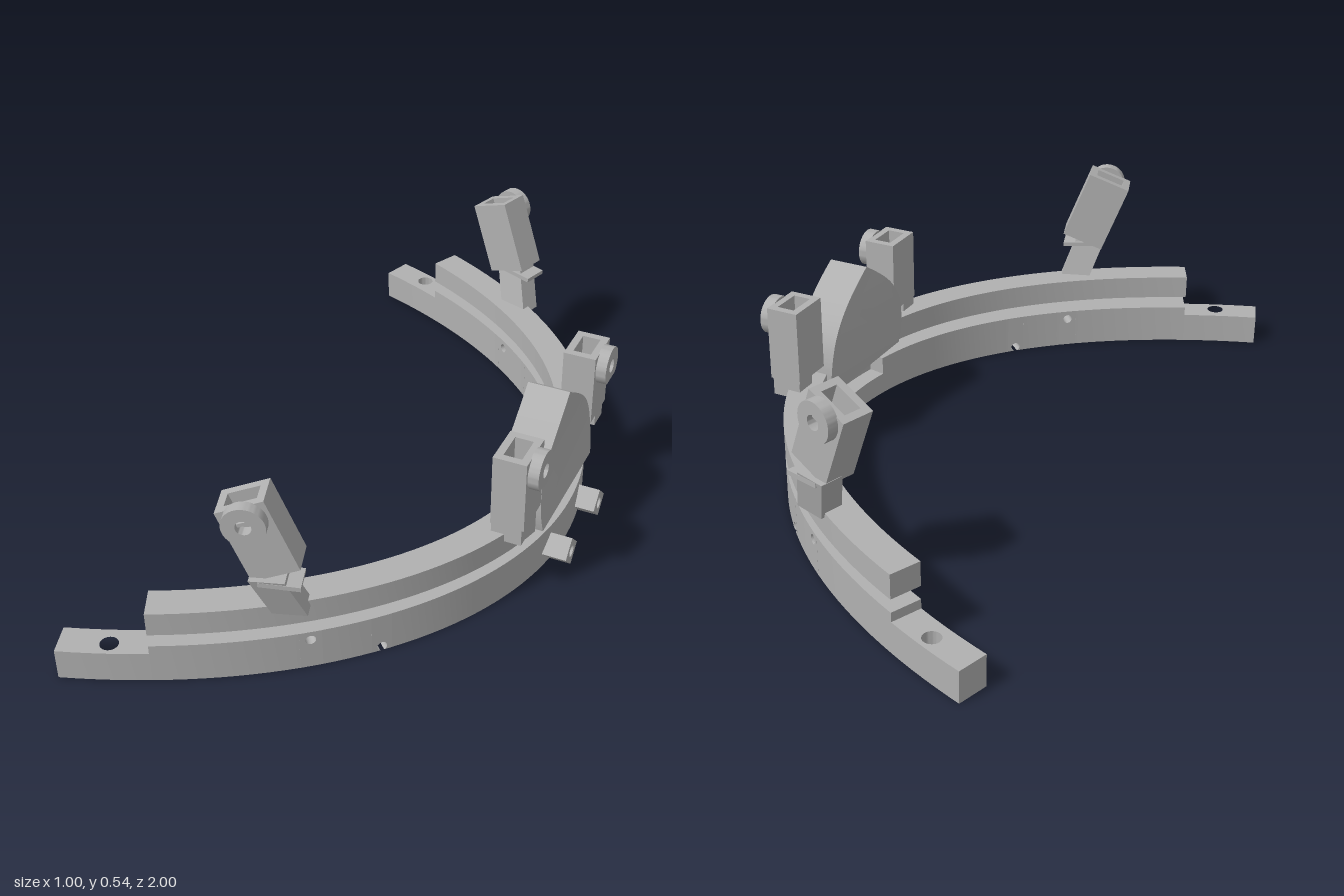
import * as THREE from 'three';
import { toCreasedNormals } from 'three/addons/utils/BufferGeometryUtils.js';

const grey = new THREE.MeshStandardMaterial({ color: 0xb0b0b0 });
grey.name = 'plain grey';

// Elliptical band: outer edge and its inward offset
const A = 1.67, B = 1.118, CX = -1.22, WIDTH = 0.082;
const T_END = 1.108, T_STEP = 0.962;
const rate = t => Math.hypot(A * Math.sin(t), B * Math.cos(t));
function bandPoint(t, inset) {
  const nx = B * Math.cos(t) / rate(t), nz = A * Math.sin(t) / rate(t);
  return new THREE.Vector2(CX + A * Math.cos(t) - nx * inset, -(B * Math.sin(t) - nz * inset));
}

export function createModel() {
  const model = new THREE.Group();

  function add(parent, name, geometry, x = 0, y = 0, z = 0) {
    const mesh = new THREE.Mesh(geometry, grey);
    mesh.name = name;
    mesh.position.set(x, y, z);
    parent.add(mesh);
    return mesh;
  }
  const extrude = (shape, depth) =>
    new THREE.ExtrudeGeometry(shape, { depth, bevelEnabled: false, curveSegments: 20 });
  const circle = (x, y, r) => new THREE.Path().absarc(x, y, r, 0, Math.PI * 2, true);

  // Length of band between two parameters, standing from y0 to y1
  function arc(name, t0, t1, y0, y1, { inset0 = 0, inset1 = WIDTH, hole } = {}) {
    const n = Math.max(2, Math.ceil(Math.abs(t1 - t0) * 36)), pts = [];
    for (let i = 0; i <= n; i++) pts.push(bandPoint(t0 + (t1 - t0) * i / n, inset0));
    for (let i = n; i >= 0; i--) pts.push(bandPoint(t0 + (t1 - t0) * i / n, inset1));
    const shape = new THREE.Shape(pts);
    if (hole) shape.holes.push(hole);
    const g = extrude(shape, y1 - y0);
    g.rotateX(-Math.PI / 2);
    add(model, name, toCreasedNormals(g, 0.5), 0, y0, 0);
  }

  // Short block of the lower band with a round hole, or a notch open at the bottom
  const HALF = 0.02;
  function drilled(side, t, holeY, r) {
    const w = HALF * rate(t) * 1.01, shape = new THREE.Shape();
    shape.moveTo(-w, 0);
    if (holeY < r) {
      const a = Math.asin(holeY / r);
      shape.lineTo(-r * Math.cos(a), 0);
      shape.absarc(0, holeY, r, Math.PI + a, -a, true);
    }
    shape.lineTo(w, 0);
    shape.lineTo(w, 0.11);
    shape.lineTo(-w, 0.11);
    shape.closePath();
    if (holeY >= r) shape.holes.push(circle(0, holeY, r));
    const p = bandPoint(side * t, WIDTH);
    const m = add(model, 'drilledBandBlock', extrude(shape, WIDTH), p.x, 0, -p.y);
    m.rotation.y = Math.atan2(B * Math.cos(t), side * A * Math.sin(t));
  }

  // Hollow-topped holder with a teardrop eyelet on its outward (+z) side
  function holder(name, w, h, d, eyeY) {
    const g = new THREE.Group();
    g.name = name;
    const cup = 0.09, wall = 0.02;
    const outline = (a, b) => [[-a, -b], [a, -b], [a, b], [-a, b]].map(p => new THREE.Vector2(...p));
    const rim = new THREE.Shape(outline(w / 2, d / 2));
    rim.holes.push(new THREE.Path(outline(w / 2 - wall, d / 2 - wall).reverse()));
    const rimGeo = extrude(rim, cup);
    rimGeo.rotateX(-Math.PI / 2);
    add(g, 'holderCup', rimGeo, 0, h / 2 - cup, 0);
    add(g, 'holderBody', new THREE.BoxGeometry(w, h - cup, d), 0, -cup / 2, 0);

    const r = 0.052, tear = new THREE.Shape();
    tear.moveTo(0, -0.08);
    tear.absarc(0, 0, r, -0.86, Math.PI + 0.86, false);
    tear.closePath();
    tear.holes.push(circle(0, 0, 0.019));
    add(g, 'eyelet', toCreasedNormals(extrude(tear, 0.03), 0.5), 0, eyeY, d / 2 - 0.002);
    add(g, 'eyeletBar', new THREE.BoxGeometry(0.038, 0.009, 0.015), 0, eyeY, d / 2 + 0.006);
    model.add(g);
    return g;
  }

  const tHigh = 0.698, tLow = 0.566, tPocket = 0.13;
  for (const s of [1, -1]) {
    // Lower band with end tab
    const tab = circle(-0.37, -s * 0.925, 0.023);
    arc('lowerBandTab', s * T_STEP, s * T_END, 0, 0.085, { hole: tab });
    arc('lowerBand', s * (tHigh + HALF), s * T_STEP, 0, 0.11);
    drilled(s, tHigh, 0.085, 0.013);
    arc('lowerBand', s * (tLow + HALF), s * (tHigh - HALF), 0, 0.11);
    drilled(s, tLow, 0.012, 0.013);
    arc('lowerBand', s * tPocket, s * (tLow - HALF), 0, 0.11);

    // Upper band
    arc('upperBand', s * 0.172, s * T_STEP, 0.145, 0.21);

    // Tilted side holder on a leaning leg
    const phi = s > 0 ? 0.314 : Math.PI - 0.314;
    const side = holder('sideHolder', 0.122, 0.205, 0.085, 0.065);
    side.position.set(-0.032, 0.42, s * 0.758);
    side.rotation.set(0, phi, s * 0.37);
    const leg = new THREE.BoxGeometry(0.085, 0.12, 0.062);
    leg.rotateY(phi);
    const p = leg.attributes.position;
    for (let i = 0; i < p.count; i++) {
      p.setX(i, p.getX(i) - 0.27 * p.getY(i));
      p.setZ(i, p.getZ(i) + s * 0.35 * p.getY(i));
    }
    leg.computeVertexNormals();
    add(model, 'sideLeg', leg, 0.008, 0.255, s * 0.757);
    add(model, 'legCollar', new THREE.BoxGeometry(0.1, 0.012, 0.07), 0.018, 0.303, s * 0.765)
      .rotation.set(0, phi, -s * 0.06);

    // Upright holder beside the centre plate
    const front = holder('frontHolder', 0.118, 0.2, 0.088, 0.055);
    front.position.set(0.392, 0.335, s * 0.25);
    front.rotation.set(0, Math.PI / 2, 0);
    add(model, 'frontHolderFoot', new THREE.BoxGeometry(0.08, 0.06, 0.06), 0.39, 0.218, s * 0.278);

    // Diamond lug with a hole
    const d = 0.043;
    const diamond = new THREE.Shape([[0, -d], [d, 0], [0, d], [-d, 0]].map(q => new THREE.Vector2(...q)));
    diamond.holes.push(circle(0, 0, 0.016));
    const lug = extrude(diamond, 0.075);
    lug.rotateY(Math.PI / 2);
    add(model, 'diamondLug', lug, 0.425, 0.043, s * 0.11);
  }

  // Centre of the lower band: outer wall with a lowered ledge behind it
  arc('pocketWall', -tPocket, tPocket, 0, 0.11, { inset1: 0.035 });
  arc('pocketLedge', -tPocket, tPocket, 0, 0.06, { inset0: 0.035 });

  // Pointed centre plate, leaning back slightly
  const spade = new THREE.Shape();
  spade.moveTo(-0.183, 0);
  spade.lineTo(0.183, 0);
  spade.quadraticCurveTo(0.197, 0.06, 0.182, 0.12);
  spade.bezierCurveTo(0.165, 0.2, 0.09, 0.25, 0, 0.308);
  spade.bezierCurveTo(-0.09, 0.25, -0.165, 0.2, -0.182, 0.12);
  spade.quadraticCurveTo(-0.197, 0.06, -0.183, 0);
  const plate = extrude(spade, 0.112);
  plate.rotateY(Math.PI / 2);
  const q = plate.attributes.position;
  for (let i = 0; i < q.count; i++) {
    const z = q.getZ(i);
    q.setX(i, q.getX(i) - 0.08 * q.getY(i) - 0.4 * z * z);
  }
  plate.computeVertexNormals();
  add(model, 'centrePlate', toCreasedNormals(plate, 0.4), 0.345, 0.145, 0);

  return model;
}
